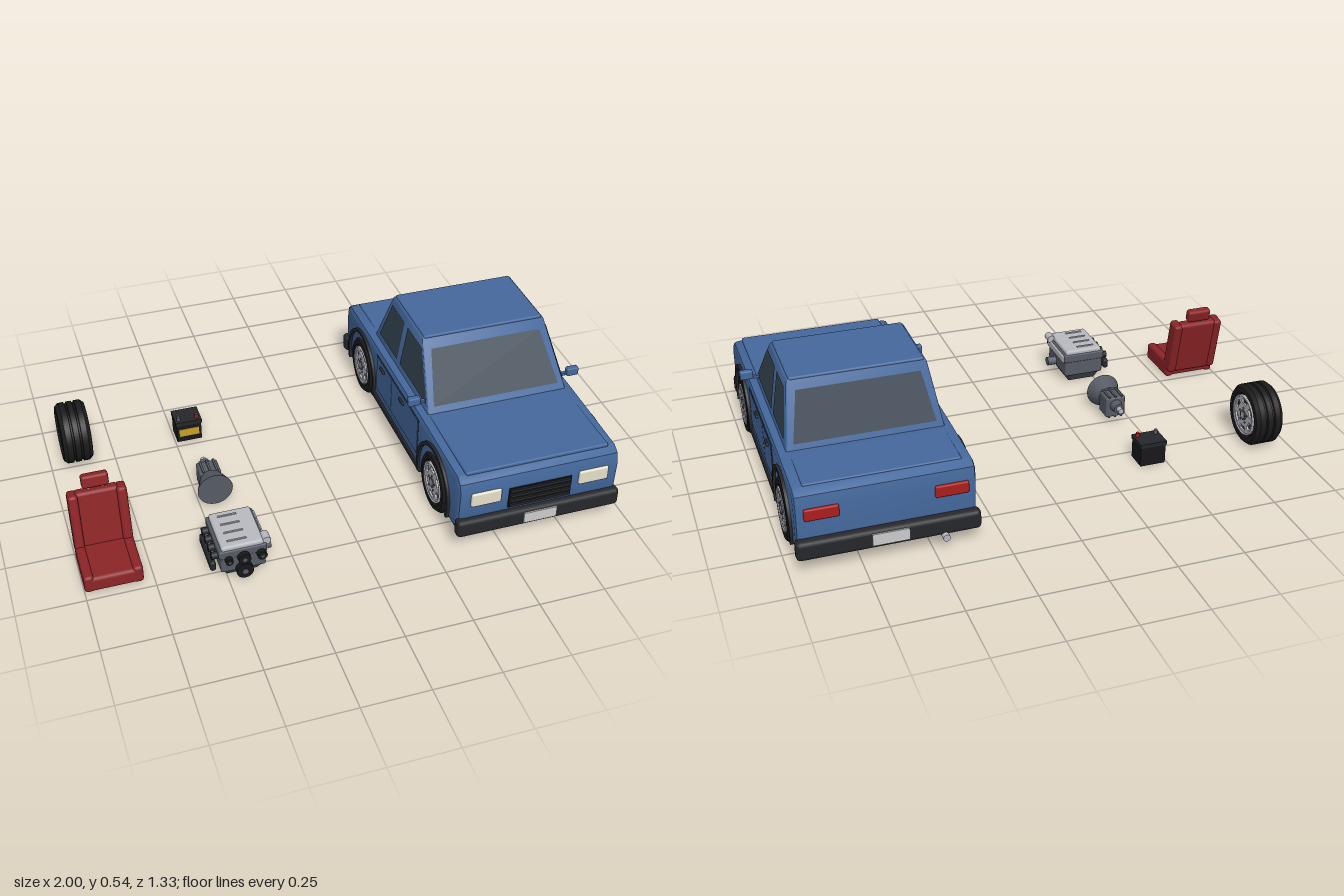
import * as THREE from 'three';
import { toCreasedNormals } from 'three/addons/utils/BufferGeometryUtils.js';
import { RoundedBoxGeometry } from 'three/addons/geometries/RoundedBoxGeometry.js';

const mat = (color) => new THREE.MeshStandardMaterial({ color });
const M = {
  blue: mat(0x44689c), glass: mat(0x34424f), dark: mat(0x26272b), tyre: mat(0x1b1b1c), silver: mat(0xb9bac0),
  red: mat(0x8c2427), tail: mat(0xab1d1d), cream: mat(0xe6e0cb), iron: mat(0x565b64), black: mat(0x17181a),
  yellow: mat(0xc9a227), plate: mat(0xdcdcdc),
};
M.glass.side = THREE.DoubleSide;

function add(parent, name, geo, material, x = 0, y = 0, z = 0) {
  const mesh = new THREE.Mesh(geo, material);
  mesh.name = name;
  mesh.position.set(x, y, z);
  parent.add(mesh);
  return mesh;
}
const group = (parent, name, x = 0, y = 0, z = 0) => {
  const g = new THREE.Group();
  g.name = name;
  g.position.set(x, y, z);
  parent.add(g);
  return g;
};
const box = (w, h, d) => new THREE.BoxGeometry(w, h, d);
const rbox = (w, h, d, r = 0.01) => new RoundedBoxGeometry(w, h, d, 2, r);
const cylX = (r, l, n = 24, r2 = r) => new THREE.CylinderGeometry(r, r2, l, n).rotateZ(-Math.PI / 2);
const cylZ = (r, l, n = 24, r2 = r) => new THREE.CylinderGeometry(r, r2, l, n).rotateX(Math.PI / 2);

// Shape drawn in (z, y), extruded across x and centred
function acrossX(shape, width, bevel = 0) {
  const geo = new THREE.ExtrudeGeometry(shape, {
    depth: width - 2 * bevel, bevelEnabled: bevel > 0, bevelSize: bevel, bevelOffset: -bevel,
    bevelThickness: bevel, bevelSegments: 2, curveSegments: 24,
  });
  geo.translate(0, 0, bevel - width / 2).rotateY(-Math.PI / 2);
  return toCreasedNormals(geo, 0.6);
}
const outline = (pts) => new THREE.Shape(pts.map((p) => new THREE.Vector2(...p)));

// Flat convex panel from corner points
function panel(pts) {
  const geo = new THREE.BufferGeometry().setFromPoints(pts.map((p) => new THREE.Vector3(...p)));
  geo.setIndex(pts.slice(2).flatMap((_, i) => [0, i + 1, i + 2]));
  geo.computeVertexNormals();
  return geo;
}

// Wheel with its outer face toward +x
function wheel(parent, name, x, y, z) {
  const g = group(parent, name, x, y, z);
  const profile = [[0.08, -0.045], [0.09, -0.057], [0.108, -0.056], [0.12, -0.042], [0.12, -0.02], [0.114, -0.018],
    [0.114, -0.012], [0.12, -0.01], [0.12, 0.01], [0.114, 0.012], [0.114, 0.018], [0.12, 0.02], [0.12, 0.042],
    [0.108, 0.056], [0.09, 0.057], [0.08, 0.045], [0.08, -0.045]].map((p) => new THREE.Vector2(...p));
  add(g, 'tyre', toCreasedNormals(new THREE.LatheGeometry(profile, 40).rotateZ(-Math.PI / 2), 0.6), M.tyre);
  add(g, 'innerDisc', cylX(0.081, 0.01, 32), M.tyre, -0.045);
  const rim = new THREE.Shape().absarc(0, 0, 0.08, 0, Math.PI * 2);
  for (let i = 0; i < 6; i++) {
    const a = (i * Math.PI) / 3 + 0.2, b = a + 0.65;
    rim.holes.push(new THREE.Path().absarc(0, 0, 0.065, a, b, false).absarc(0, 0, 0.047, b, a, true));
  }
  add(g, 'rim', acrossX(rim, 0.008), M.silver, 0.051);
  add(g, 'rimLip', new THREE.TorusGeometry(0.077, 0.004, 8, 40).rotateY(Math.PI / 2), M.silver, 0.055);
  add(g, 'hubRing', cylX(0.021, 0.006), M.iron, 0.055);
  add(g, 'hubCap', cylX(0.013, 0.01), M.silver, 0.056);
  for (let i = 0; i < 5; i++) {
    const a = (i * Math.PI * 2) / 5;
    add(g, 'wheelNut', cylX(0.004, 0.005, 6), M.iron, 0.056, Math.cos(a) * 0.03, Math.sin(a) * 0.03);
  }
  return g;
}

function buildCar(root) {
  const car = group(root, 'car', 0.65);
  // Lower body, bonnet and boot lid
  add(car, 'body', acrossX(outline([[0.615, 0.062], [0.632, 0.12], [0.637, 0.24], [0.625, 0.28], [0.595, 0.3], [0.24, 0.308],
    [-0.35, 0.309], [-0.575, 0.304], [-0.605, 0.285], [-0.615, 0.24], [-0.61, 0.062]]), 0.63, 0.018), M.blue);
  add(car, 'bonnet', rbox(0.56, 0.016, 0.365, 0.006), M.blue, 0, 0.302, 0.418);
  add(car, 'bootLid', rbox(0.55, 0.014, 0.215, 0.006), M.blue, 0, 0.303, -0.465);

  // Cabin tapers toward the roof
  const L = THREE.MathUtils.lerp;
  const t = (y) => (y - 0.29) / 0.245;
  const halfX = (y) => L(0.286, 0.248, t(y));
  const front = (y) => L(0.25, 0.058, t(y));
  const rear = (y) => L(-0.352, -0.25, t(y));
  const cabin = rbox(1, 0.245, 1, 0.012).translate(0, 0.4125, 0);
  const p = cabin.attributes.position;
  for (let i = 0; i < p.count; i++) {
    const y = p.getY(i);
    p.setXYZ(i, p.getX(i) * 2 * halfX(y), y, L(rear(y), front(y), p.getZ(i) + 0.5));
  }
  add(car, 'cabin', toCreasedNormals(cabin, 0.6), M.blue);
  add(car, 'roof', rbox(0.482, 0.016, 0.31, 0.007), M.blue, 0, 0.533, -0.095);

  // Glass
  const e = 0.003;
  const screen = (edge, d) => panel([[-0.255, 0.33], [0.255, 0.33], [0.222, 0.5], [-0.222, 0.5]].map(([x, y]) => [x, y, edge(y) + d]));
  add(car, 'windscreen', screen(front, e), M.glass);
  add(car, 'rearWindow', screen(rear, -e), M.glass);
  const windows = {
    frontWindow: [[0.21, 0.336], [0.075, 0.503], [-0.07, 0.503], [-0.074, 0.336]],
    backWindow: [[-0.107, 0.336], [-0.107, 0.503], [-0.238, 0.503], [-0.3, 0.336]],
  };

  for (const s of [-1, 1]) {
    const side = s > 0 ? 'left' : 'right';
    for (const [name, pts] of Object.entries(windows))
      add(car, name, panel(pts.map(([z, y]) => [s * (halfX(y) + e), y, z])), M.glass);
    // Doors over a dark gap
    add(car, 'doorGap', box(0.004, 0.16, 0.458), M.dark, s * 0.3145, 0.202, -0.003);
    add(car, 'frontDoor', box(0.008, 0.154, 0.281), M.blue, s * 0.314, 0.202, 0.0825);
    add(car, 'rearDoor', box(0.008, 0.154, 0.165), M.blue, s * 0.314, 0.202, -0.1455);
    for (const z of [0.055, -0.16]) add(car, 'doorHandle', rbox(0.014, 0.011, 0.046, 0.004), M.dark, s * 0.32, 0.253, z);
    add(car, 'sill', rbox(0.03, 0.032, 0.53, 0.006), M.dark, s * 0.306, 0.075, 0);
    // Mirror
    add(car, 'mirrorArm', box(0.04, 0.01, 0.014), M.blue, s * 0.295, 0.342, 0.188);
    add(car, 'mirror', rbox(0.048, 0.034, 0.026, 0.006), M.blue, s * 0.326, 0.352, 0.192);
    // Wheels and arches
    for (const z of [-0.4, 0.4]) {
      const w = wheel(car, side + (z > 0 ? 'FrontWheel' : 'RearWheel'), s * 0.268, 0.121, z);
      if (s < 0) w.rotation.y = Math.PI;
      const arch = new THREE.Shape().absarc(0, 0, 0.156, -0.35, Math.PI + 0.35, false).absarc(0, 0, 0.142, Math.PI + 0.35, -0.35, true);
      add(car, 'wheelArch', acrossX(arch, 0.03), M.dark, s * 0.311, 0.122, z);
    }
    // Lamps
    add(car, 'headlamp', rbox(0.118, 0.06, 0.03, 0.008), M.cream, s * 0.212, 0.21, 0.63);
    add(car, 'tailLamp', rbox(0.12, 0.045, 0.03, 0.006), M.tail, s * 0.225, 0.219, -0.61);
  }

  // Grille
  add(car, 'grille', box(0.246, 0.088, 0.02), M.black, 0, 0.185, 0.63);
  for (let i = 0; i < 4; i++) add(car, 'grilleSlat', box(0.24, 0.011, 0.01), M.dark, 0, 0.152 + i * 0.022, 0.642);
  // Bumpers, plates and exhaust
  for (const s of [-1, 1]) {
    add(car, 'bumper', rbox(0.645, 0.072, 0.046, 0.016), M.dark, 0, 0.092, s > 0 ? 0.636 : -0.623);
    add(car, 'numberPlate', box(0.13, 0.045, 0.008), M.plate, 0, 0.094, s > 0 ? 0.66 : -0.647);
  }
  add(car, 'exhaust', cylZ(0.013, 0.12, 16), M.silver, -0.19, 0.056, -0.604);
}

function buildSeat(root) {
  const seat = group(root, 'seat', -0.893, 0, 0.34);
  add(seat, 'cushion', rbox(0.19, 0.058, 0.2, 0.014), M.red, 0, 0.036, 0.03);
  const back = group(seat, 'backrest', 0, 0.03, -0.065);
  back.rotation.x = -0.2;
  add(back, 'backPad', rbox(0.16, 0.24, 0.045, 0.014), M.red, 0, 0.125, 0);
  add(back, 'headrest', rbox(0.098, 0.05, 0.035, 0.01), M.red, 0, 0.278, 0);
  for (const s of [-1, 1]) {
    add(seat, 'cushionBolster', rbox(0.036, 0.07, 0.2, 0.012), M.red, s * 0.088, 0.038, 0.03);
    add(back, 'backBolster', rbox(0.036, 0.235, 0.062, 0.012), M.red, s * 0.088, 0.125, 0.006);
    add(back, 'headrestPost', new THREE.CylinderGeometry(0.005, 0.005, 0.04, 8), M.silver, s * 0.025, 0.25, 0);
  }
  add(seat, 'seatFront', rbox(0.19, 0.05, 0.03, 0.012), M.red, 0, 0.03, 0.115);
}

function buildEngine(root) {
  const e = group(root, 'engine', -0.443, 0, 0.45);
  // Block, sump, head and ribbed cover
  add(e, 'sump', new THREE.CylinderGeometry(0.1, 0.075, 0.04, 4).rotateY(Math.PI / 4).scale(1.05, 1, 1.3), M.iron, 0, 0.022, 0);
  add(e, 'block', rbox(0.165, 0.07, 0.2, 0.008), M.iron, 0, 0.072, 0);
  add(e, 'cylinderHead', rbox(0.175, 0.035, 0.205, 0.006), M.iron, 0, 0.118, 0);
  add(e, 'valveCover', rbox(0.155, 0.026, 0.195, 0.009), M.silver, 0, 0.139, 0);
  for (let i = 0; i < 4; i++) {
    const z = -0.068 + i * 0.045;
    add(e, 'coverRib', box(0.07, 0.006, 0.006), M.silver, -0.015, 0.153, z);
    add(e, 'exhaustPort', cylX(0.014, 0.03, 16), M.dark, -0.095, 0.1, z);
  }
  add(e, 'manifold', rbox(0.022, 0.04, 0.17, 0.009), M.dark, -0.107, 0.06, 0);
  add(e, 'intake', rbox(0.02, 0.035, 0.19, 0.008), M.silver, 0.083, 0.115, 0);
  add(e, 'oilFilter', cylX(0.018, 0.04, 16), M.iron, 0.1, 0.06, 0.02);
  // Pulleys
  for (const [x, y, r] of [[0, 0.045, 0.031], [0, 0.1, 0.023], [0.065, 0.1, 0.018], [-0.055, 0.1, 0.014]]) {
    add(e, 'pulley', cylZ(r, 0.022), M.black, x, y, 0.11);
    add(e, 'pulleyHub', cylZ(r * 0.35, 0.028, 16), M.iron, x, y, 0.11);
  }
  add(e, 'thermostat', cylZ(0.016, 0.04, 16), M.silver, 0.088, 0.142, 0.075);
}

function buildGearbox(root) {
  const g = group(root, 'gearbox', -0.44, 0.07, 0);
  add(g, 'bellHousing', cylZ(0.068, 0.066, 28, 0.044), M.iron, 0, 0, 0.103);
  add(g, 'gearCase', rbox(0.082, 0.085, 0.075, 0.008), M.iron, 0, -0.008, 0.035);
  for (const x of [-0.026, 0, 0.026]) add(g, 'caseRib', box(0.008, 0.094, 0.07), M.iron, x, -0.008, 0.035);
  add(g, 'tailHousing', cylZ(0.026, 0.04, 20, 0.02), M.iron, 0, 0, -0.015);
  add(g, 'outputShaft', cylZ(0.011, 0.04, 16), M.silver, 0, 0, -0.037);
}

function buildBattery(root) {
  const b = group(root, 'battery', -0.442, 0, -0.32);
  add(b, 'case', box(0.1, 0.078, 0.084), M.black, 0, 0.039, 0);
  add(b, 'lid', box(0.106, 0.016, 0.09), M.dark, 0, 0.086, 0);
  add(b, 'label', box(0.08, 0.034, 0.004), M.yellow, 0, 0.042, 0.042);
  for (const s of [-1, 1])
    add(b, 'terminal', new THREE.CylinderGeometry(0.007, 0.008, 0.016, 12), s > 0 ? M.tail : M.iron, s * 0.037, 0.102, 0.024);
}

export function createModel() {
  const root = new THREE.Group();
  root.name = 'carAndParts';
  buildCar(root);
  buildSeat(root);
  buildEngine(root);
  buildGearbox(root);
  buildBattery(root);
  wheel(root, 'spareWheel', -0.893, 0.12, -0.318);
  return root;
}
